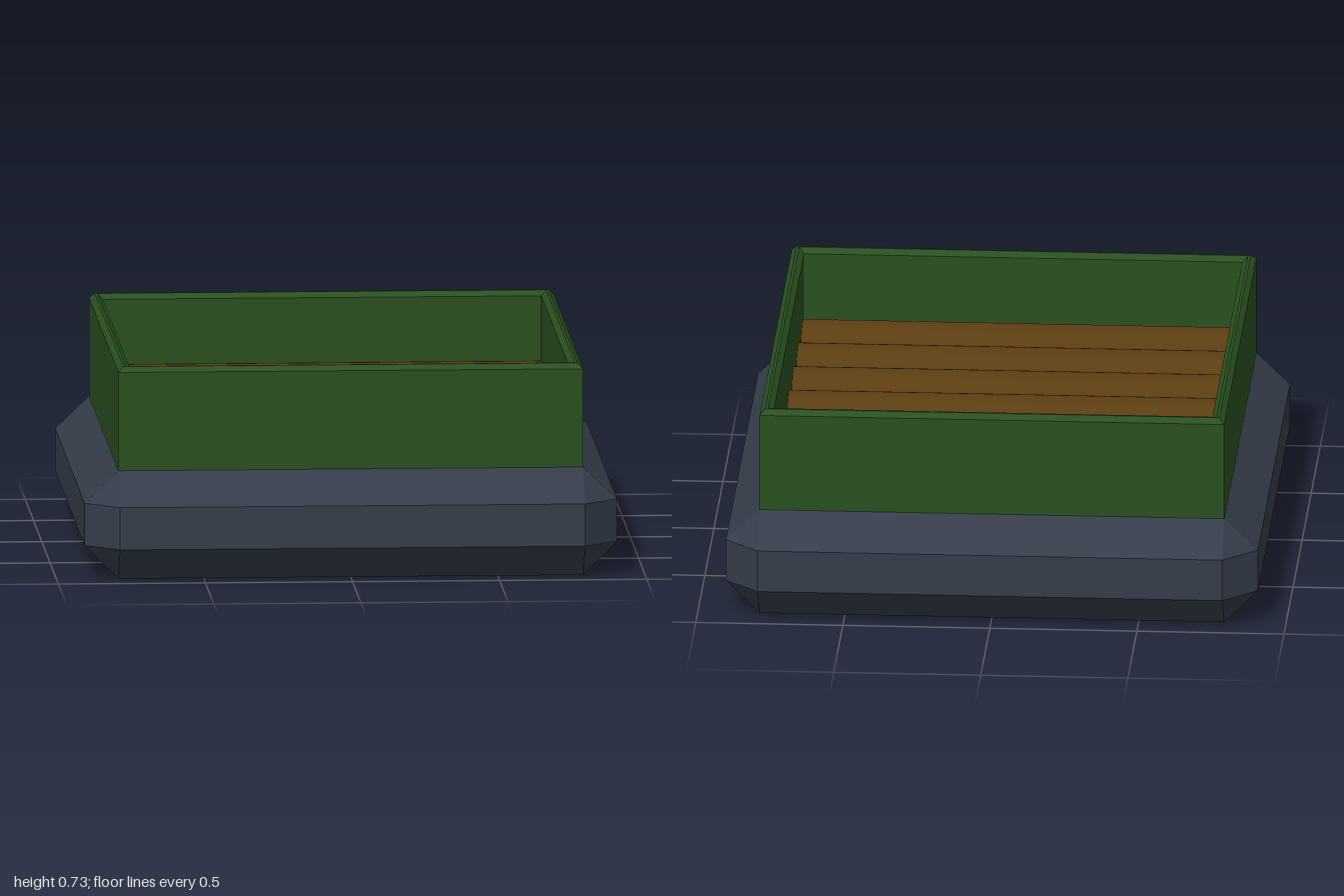
import * as THREE from 'three';
import { ConvexGeometry } from 'three/addons/geometries/ConvexGeometry.js';

const HX = 0.79, HZ = 0.885;      // half size of the box and of the base's top
const BASE_TOP = 0.37, TOP = 0.725;
const WALL = 0.045, BEVEL = 0.018;

function addMesh(parent, name, geometry, material) {
  const mesh = new THREE.Mesh(geometry, material);
  mesh.name = name;
  parent.add(mesh);
  return mesh;
}

// Closed rectangle outline, usable as a shape or a hole
function rectangle(target, hx, hz) {
  target.moveTo(-hx, -hz);
  target.lineTo(hx, -hz);
  target.lineTo(hx, hz);
  target.lineTo(-hx, hz);
  target.closePath();
  return target;
}

// Slab with every edge and corner chamfered
function baseGeometry() {
  const points = [];
  for (const sx of [-1, 1]) for (const sz of [-1, 1]) {
    for (const y of [0, BASE_TOP]) points.push(new THREE.Vector3(sx * HX, y, sz * HZ));
    for (const y of [0.115, 0.26]) {
      points.push(new THREE.Vector3(sx * 0.905, y, sz * HZ));
      points.push(new THREE.Vector3(sx * HX, y, sz));
    }
  }
  return new ConvexGeometry(points);
}

// Open frame with a bevelled rim; its lower bevel is sunk into the base
function wallsGeometry() {
  const bottom = 0.3;
  const shape = rectangle(new THREE.Shape(), HX, HZ);
  shape.holes.push(rectangle(new THREE.Path(), HX - WALL, HZ - WALL));
  const geometry = new THREE.ExtrudeGeometry(shape, {
    depth: TOP - bottom - 2 * BEVEL,
    bevelThickness: BEVEL, bevelSize: BEVEL, bevelOffset: -BEVEL, bevelSegments: 1,
  });
  geometry.rotateX(-Math.PI / 2);
  geometry.translate(0, bottom + BEVEL, 0);
  return geometry;
}

export function createModel() {
  const model = new THREE.Group();
  model.name = 'logTray';
  const slate = new THREE.MeshStandardMaterial({ color: 0x343d4a, flatShading: true });
  const green = new THREE.MeshStandardMaterial({ color: 0x2a5020, flatShading: true });
  const brown = new THREE.MeshStandardMaterial({ color: 0x5c3d12 });

  addMesh(model, 'base', baseGeometry(), slate);
  addMesh(model, 'walls', wallsGeometry(), green);

  // Row of logs lying across the tray, half sunk into the base
  const logs = new THREE.Group();
  logs.name = 'logs';
  model.add(logs);
  const count = 7, radius = 0.88 / count;
  const logGeometry = new THREE.CylinderGeometry(radius, radius, 2 * (HX - WALL) + 0.02, 32);
  logGeometry.rotateZ(Math.PI / 2);
  for (let i = 0; i < count; i++) {
    const log = addMesh(logs, `log${i + 1}`, logGeometry, brown);
    log.position.set(0, BASE_TOP, (i - (count - 1) / 2) * 2 * radius);
  }
  return model;
}
